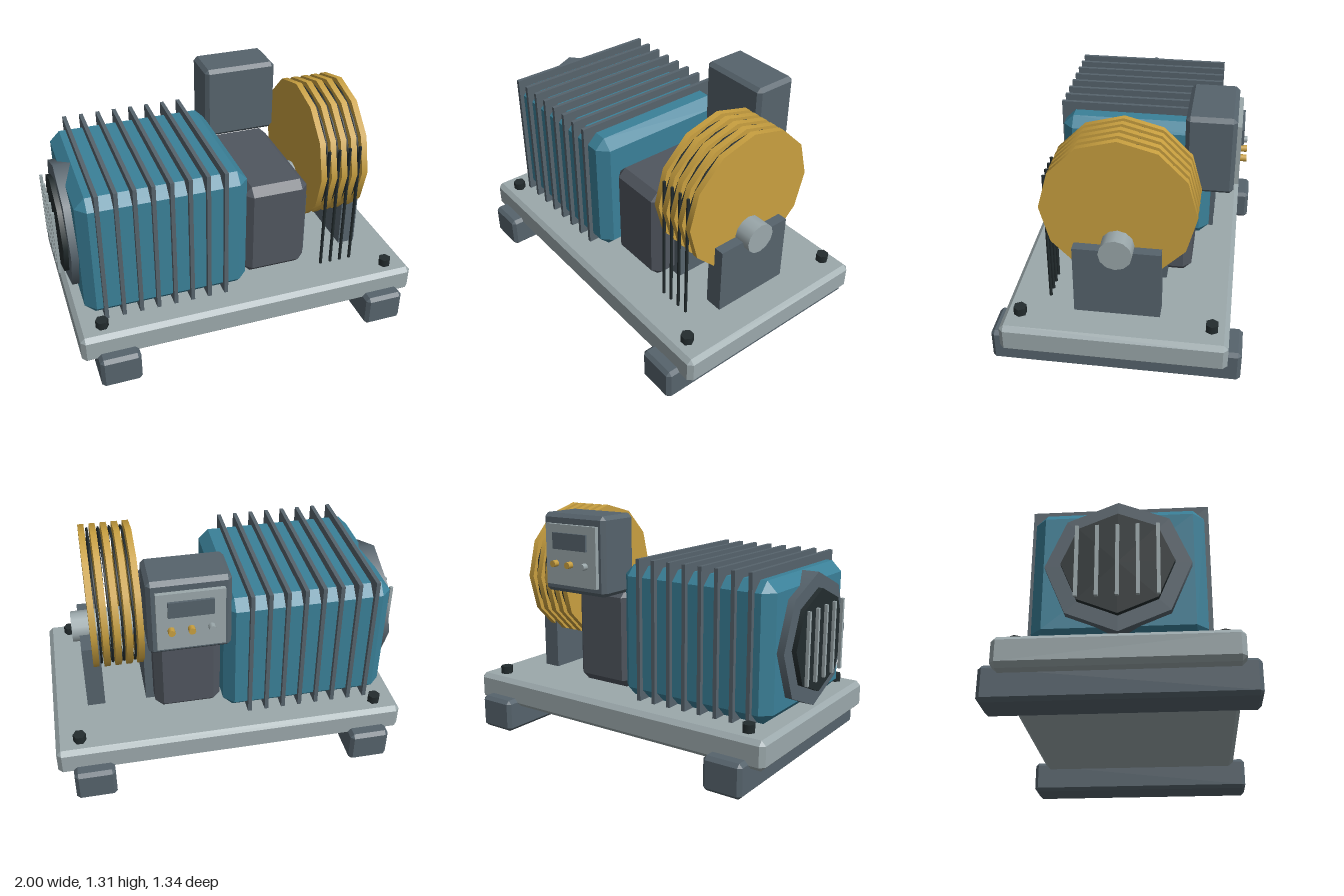
import * as THREE from 'three';
import { ConvexGeometry } from 'three/addons/geometries/ConvexGeometry.js';

const mat = (name, color) => {
  const m = new THREE.MeshStandardMaterial({ color });
  m.name = name;
  return m;
};

export function createModel() {
  const group = new THREE.Group();
  const teal = mat('teal paint', 0x3a8098);
  const steel = mat('slate steel', 0x56636c);
  const iron = mat('dark iron', 0x50565f);
  const light = mat('light grey', 0x9ba8ab);
  const gold = mat('brass yellow', 0xc9a040);
  const black = mat('black', 0x232c2e);

  const add = (name, geometry, material, x = 0, y = 0, z = 0) => {
    const mesh = new THREE.Mesh(geometry, material);
    mesh.name = name;
    mesh.position.set(x, y, z);
    group.add(mesh);
    return mesh;
  };

  // Box given by its limits on each axis
  const box = (name, m, x0, x1, y0, y1, z0, z1) =>
    add(name, new THREE.BoxGeometry(x1 - x0, y1 - y0, z1 - z0), m,
      (x0 + x1) / 2, (y0 + y1) / 2, (z0 + z1) / 2);

  // Box with every edge cut at 45 degrees
  const chamferBox = (name, m, c, x0, x1, y0, y1, z0, z1) => {
    const a = (x1 - x0) / 2, b = (y1 - y0) / 2, d = (z1 - z0) / 2;
    const pts = [];
    for (const i of [-1, 1]) for (const j of [-1, 1]) for (const k of [-1, 1]) {
      pts.push(
        new THREE.Vector3(i * a, j * (b - c), k * (d - c)),
        new THREE.Vector3(i * (a - c), j * b, k * (d - c)),
        new THREE.Vector3(i * (a - c), j * (b - c), k * d));
    }
    return add(name, new ConvexGeometry(pts), m, (x0 + x1) / 2, (y0 + y1) / 2, (z0 + z1) / 2);
  };

  // Cylinder lying along x
  const cylX = (name, m, r, x0, x1, y, z, sides) =>
    add(name, new THREE.CylinderGeometry(r, r, x1 - x0, sides).rotateZ(-Math.PI / 2), m,
      (x0 + x1) / 2, y, z);

  // Base plate, cross feet and bolts
  chamferBox('basePlate', light, 0.025, -0.97, 1.0, 0.14, 0.3, -0.6, 0.6);
  for (const x of [-0.775, 0.803]) {
    chamferBox('foot', steel, 0.02, x - 0.113, x + 0.113, 0, 0.188, -0.672, 0.672);
  }
  for (const x of [-0.835, 0.865]) for (const z of [-0.508, 0.508]) {
    add('baseBolt', new THREE.CylinderGeometry(0.036, 0.036, 0.05, 6).rotateY(Math.PI / 2), black, x, 0.32, z);
  }

  // Motor housing with cooling fins
  chamferBox('motorHousing', teal, 0.057, -0.9, 0.033, 0.3, 1.04, -0.432, 0.432);
  for (let i = 0; i < 8; i++) {
    const x = -0.795 + i * 0.098;
    box('coolingFin', steel, x - 0.011, x + 0.011, 0.3, 1.087, -0.456, 0.456);
  }

  // Fan cover on the motor end
  cylX('fanCover', steel, 0.363, -0.94, -0.82, 0.676, 0, 8);
  cylX('fanOpening', black, 0.28, -0.967, -0.93, 0.676, 0, 8);
  for (let i = -2; i <= 2; i++) {
    box('grilleBar', light, -1.0, -0.983, 0.48, 0.872, i * 0.1 - 0.009, i * 0.1 + 0.009);
  }

  // Gearbox
  chamferBox('gearbox', iron, 0.045, 0.04, 0.417, 0.307, 0.88, -0.36, 0.36);

  // Bearing blocks and shaft
  box('innerBearing', steel, 0.36, 0.462, 0.3, 0.7, -0.23, 0.23);
  box('outerBearing', steel, 0.7, 0.802, 0.3, 0.7, -0.23, 0.23);
  cylX('shaft', light, 0.088, 0.3, 0.842, 0.707, 0, 12);

  // Sheave discs with ropes running in the gaps
  for (let i = 0; i < 5; i++) {
    const x = 0.48 + i * 0.062;
    cylX('sheaveDisc', gold, 0.405, x - 0.017, x + 0.017, 0.9, 0, 12);
    if (i === 4) continue;
    const gap = x + 0.031;
    add('ropeLoop', new THREE.TorusGeometry(0.378, 0.007, 6, 24).rotateY(Math.PI / 2), black, gap, 0.9, 0);
    add('hangingRope', new THREE.CylinderGeometry(0.009, 0.009, 0.76, 6), black, gap, 0.68, 0.38);
  }

  // Control box with panel, screen and buttons on the back
  chamferBox('controlBox', steel, 0.022, 0.027, 0.46, 0.875, 1.31, -0.567, -0.307);
  box('controlPanel', light, 0.065, 0.418, 0.922, 1.255, -0.59, -0.56);
  box('screen', steel, 0.125, 0.36, 1.12, 1.21, -0.603, -0.585);
  [0.138, 0.242, 0.345].forEach((x, i) => {
    add('button', new THREE.CylinderGeometry(0.019, 0.019, 0.04, 8).rotateX(Math.PI / 2),
      i === 0 ? light : gold, x, 1.04, -0.603);
  });

  return group;
}
